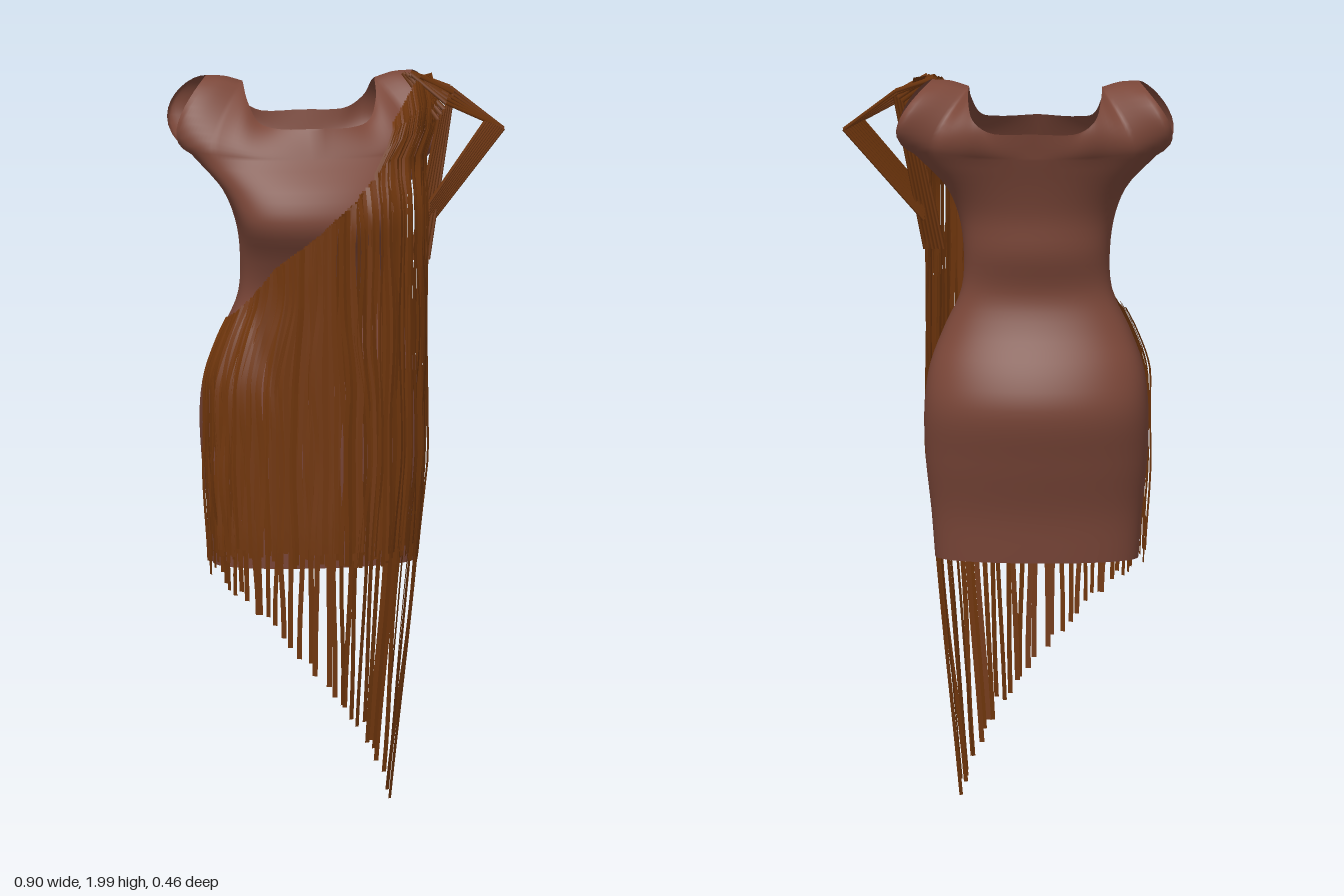
import * as THREE from 'three';
import { mergeGeometries, mergeVertices } from 'three/addons/utils/BufferGeometryUtils.js';

const V = (x, y, z) => new THREE.Vector3(x, y, z);
const CX = -0.085; // the dress sits a little to one side of the flared fringe

// Dress sections: height, then half width, front z, back z
const HEIGHTS = [0.67, 0.8, 0.95, 1.1, 1.2, 1.3, 1.4, 1.52, 1.62, 1.7, 1.79];
const SECTIONS = [
  0.275, 0.13, -0.13, 0.285, 0.14, -0.15, 0.3, 0.155, -0.195, 0.302, 0.16, -0.23,
  0.288, 0.15, -0.2, 0.25, 0.125, -0.145, 0.205, 0.095, -0.117, 0.198, 0.145, -0.148,
  0.215, 0.2, -0.155, 0.25, 0.178, -0.178, 0.33, 0.108, -0.212,
];
const spline = new THREE.CubicInterpolant(HEIGHTS, SECTIONS, 3);
const section = (y) => Array.from(spline.evaluate(Math.min(1.79, Math.max(0.67, y))));

function seeded(seed) {
  return () => {
    seed = (seed * 16807) % 2147483647;
    return seed / 2147483647;
  };
}

// Point of the dress relative to its centre line; bust and upper back are flatter
function bodyPoint(t, y, back) {
  const [w, zf, zb] = section(y);
  const mid = (zf + zb) / 2;
  const power = 0.75 - 0.3 * (back ? THREE.MathUtils.smoothstep(y, 1.4, 1.79) : Math.exp(-(((y - 1.63) / 0.1) ** 2)));
  const s = Math.pow(Math.abs(Math.sin(t)), power);
  return V(w * Math.cos(t), y, mid + ((back ? zb : zf) - mid) * s);
}

// Half of the neckline, front and back, and the shoulder seam
const NECK = [
  new THREE.CatmullRomCurve3([V(0, 1.87, 0.068), V(0.1, 1.868, 0.047), V(0.15, 1.88, 0.013), V(0.175, 1.93, -0.035), V(0.18, 1.975, -0.1)]),
  new THREE.CatmullRomCurve3([V(0, 1.865, -0.23), V(0.12, 1.868, -0.228), V(0.165, 1.9, -0.222), V(0.18, 1.95, -0.17), V(0.18, 1.975, -0.1)]),
];
const SHOULDER = new THREE.CatmullRomCurve3([V(0.18, 1.975, -0.1), V(0.23, 1.99, -0.1), V(0.28, 1.993, -0.1)]);
// How far the panels swell out at the armhole, low and high
const SWELL = [
  [V(0.12, -0.02, 0.072), V(0.02, 0.05, 0.06)],
  [V(0.125, -0.005, -0.185), V(0.025, 0.045, -0.15)],
];

function dressHalf(back) {
  const cols = 60, rows = 44, panel = 12, pos = [], index = [], half = back ? 1 : 0;
  for (let i = 0; i <= cols; i++) {
    const t = (i / cols + half) * Math.PI;
    const sign = Math.cos(t) < 0 ? -1 : 1;
    const f = Math.abs(1 - (2 * i) / cols);
    // Skirt and bodice up to the armpit
    for (let j = 0; j <= rows; j++) {
      const p = bodyPoint(t, 0.67 + (1.12 * j) / rows, back);
      pos.push(CX + p.x, p.y, p.z);
    }
    // Chest or back panel up to neckline and shoulder, leaving the armhole open
    const b = bodyPoint(t, 1.79, back);
    b.x = Math.abs(b.x);
    const top = f <= 0.6001 ? NECK[half].getPoint(Math.min(1, f / 0.6)) : SHOULDER.getPoint((f - 0.6) / 0.4);
    const amount = f ** (back ? 1.7 : 1.3);
    const [low, high] = SWELL[half].map((d, m) => b.clone().lerp(top, (m + 1) / 3).addScaledVector(d, amount));
    const curve = new THREE.CubicBezierCurve3(b, low, high, top);
    for (let j = 1; j <= panel; j++) {
      const p = curve.getPoint(j / panel);
      pos.push(CX + sign * p.x, p.y, p.z);
    }
  }
  const n = rows + panel + 1;
  for (let i = 0; i < cols; i++) {
    for (let j = 0; j < n - 1; j++) {
      const a = i * n + j, d = a + n;
      index.push(a, a + 1, d, a + 1, d + 1, d);
    }
  }
  const g = new THREE.BufferGeometry();
  g.setAttribute('position', new THREE.Float32BufferAttribute(pos, 3));
  g.setIndex(index);
  return g;
}

// Flat ribbon along a path, its width lying along the side vector
function ribbon(path, steps, side, width) {
  const pos = [], index = [];
  for (let i = 0; i <= steps; i++) {
    const p = path.getPoint(i / steps);
    for (const s of [0.5, -0.5]) {
      const q = p.clone().addScaledVector(side, s * width);
      pos.push(q.x, q.y, q.z);
    }
    const a = 2 * i;
    if (i < steps) index.push(a, a + 1, a + 2, a + 1, a + 3, a + 2);
  }
  const g = new THREE.BufferGeometry();
  g.setAttribute('position', new THREE.Float32BufferAttribute(pos, 3));
  g.setIndex(index);
  g.computeVertexNormals();
  return g;
}

// Height of the slanted fringe edge for k = -1 (right hip) to 1 (left shoulder)
const edge = new THREE.LinearInterpolant([-1, -0.57, -0.07, 0.35, 0.58, 1], [1.34, 1.5, 1.6, 1.69, 1.78, 1.78], 1);

// One hanging strand: rests on the widest part of the dress above it
function strand(t, endY, lift, width, rand) {
  const k = Math.cos(t), s = Math.pow(Math.sin(t), 0.75);
  const pts = [];
  if (k > 0.5) {
    const a = (k - 0.5) / 0.5;
    pts.push(V(0.13 + 0.12 * a, 1.88 + 0.11 * Math.min(1, a * 1.5), 0.045 - 0.11 * a));
    pts.push(V(0.12 + 0.14 * a, 1.85 + 0.05 * a, 0.1 - 0.08 * a));
  }
  const startY = edge.evaluate(k)[0];
  let w = 0, reach = -1;
  const steps = 16, sway = (rand() - 0.5) * 0.014;
  for (let i = 0; i <= steps; i++) {
    const y = startY + ((endY - startY) * i) / steps;
    const [bodyW, zf] = section(y);
    w = Math.max(w, Math.min(bodyW, 0.295));
    const x = (w + lift * 0.7) * k;
    reach = Math.max(reach, -0.03 + (zf + 0.03) * s);
    if (Math.abs(x) < bodyW) reach = Math.max(reach, bodyPoint(Math.acos(x / bodyW), y, false).z);
    const taper = Math.max(0, 0.95 - y) * (k > 0 ? 0.1 : 0.05);
    pts.push(V(CX + x - taper * k + sway * Math.sin(i * 0.7), y, reach + lift * s - 0.05 * Math.max(0, 0.75 - y)));
  }
  const side = V(Math.sin(t) * 0.3, 0, -k * 0.2).normalize();
  side.applyAxisAngle(V(0, 1, 0), (rand() - 0.5) * 0.9);
  return ribbon(new THREE.CatmullRomCurve3(pts), 28, side, width);
}

const straight = (a, b, r) => new THREE.TubeGeometry(new THREE.LineCurve3(a, b), 1, r, 4, false);

export function createModel() {
  const model = new THREE.Group();
  const cloth = new THREE.MeshStandardMaterial({ color: 0x7a4638, side: THREE.DoubleSide });
  cloth.name = 'rose brown cloth';
  const cord = new THREE.MeshStandardMaterial({ color: 0x70360c, side: THREE.DoubleSide });
  cord.name = 'rust brown cord';
  const add = (name, geometry, material) => {
    const mesh = new THREE.Mesh(geometry, material);
    mesh.name = name;
    model.add(mesh);
  };

  // Fitted dress, both halves welded along side seams and shoulders
  const dress = mergeVertices(mergeGeometries([dressHalf(false), dressHalf(true)]), 1e-4);
  dress.computeVertexNormals();
  add('dress', dress, cloth);

  const rand = seeded(77);
  const angle = (u) => 0.25 + u * (Math.PI - 0.47);

  // Dense fringe ending at the hem
  const dense = [];
  for (let i = 0; i < 115; i++) {
    const t = angle(i / 114);
    dense.push(strand(t, 0.68 + rand() * 0.05, 0.01 + rand() * 0.018, 0.012, rand));
  }
  add('denseFringe', mergeGeometries(dense), cord);

  // Long strands whose ends fall on a slant
  const long = [];
  for (let i = 0; i < 36; i++) {
    const t = angle((i + (i ? (rand() - 0.5) * 0.8 : 0)) / 35), k = Math.cos(t);
    const endY = 0.645 - 0.29 * (k + 1) - 0.07 * Math.max(0, k) ** 2 + (i ? rand() * 0.05 : 0);
    long.push(strand(t, Math.max(0, endY), 0.018, 0.014, rand));
  }
  add('longFringe', mergeGeometries(long), cord);

  // Loops standing out from the left shoulder
  const flare = [];
  for (let i = 0; i < 9; i++) {
    const a = i / 8;
    const tip = V(0.437 - 0.05 * a, 1.84 + 0.025 * a, -0.02 + 0.012 * a);
    flare.push(straight(tip, V(0.222, 1.585 + 0.07 * a, 0.03 + 0.03 * a), 0.005));
    if (i % 2 === 0) {
      const bend = V(0.295 - 0.02 * a, 1.952 - 0.03 * a, -0.05 + 0.07 * a);
      flare.push(straight(V(0.19, 1.991, -0.07 + 0.04 * a), bend, 0.006), straight(bend, tip, 0.005));
    }
  }
  // Smaller loops closer to the body
  for (let i = 0; i < 6; i++) {
    const tip = V(0.25 + 0.01 * i, 1.88 + 0.012 * i, 0.04 - 0.014 * i);
    flare.push(straight(V(0.17 + 0.008 * i, 1.99, -0.07 + 0.01 * i), tip, 0.007));
    flare.push(straight(tip, V(0.17 + 0.01 * i, 1.5, 0.06), 0.005));
  }
  add('shoulderFringe', mergeGeometries(flare), cord);

  return model;
}
